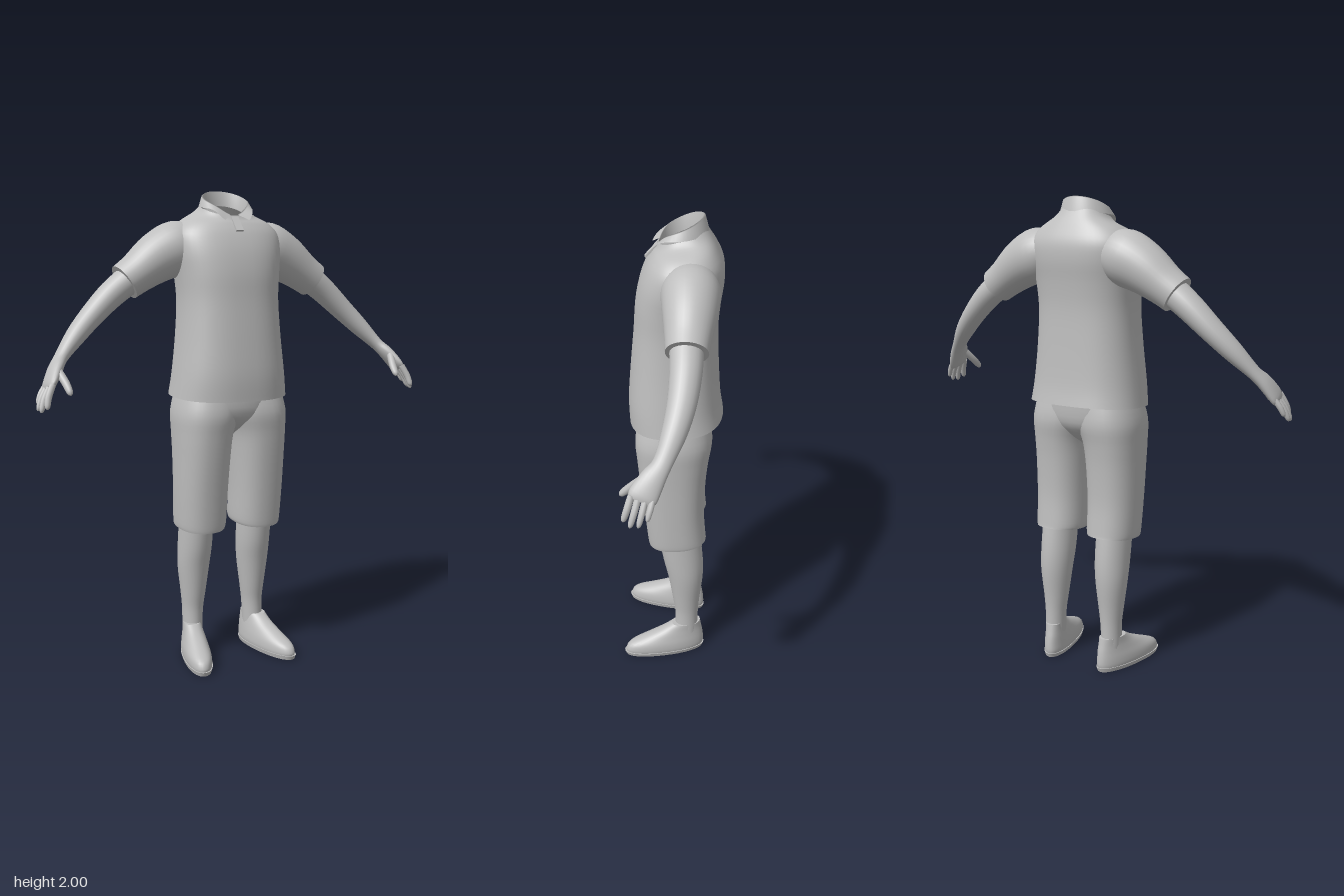
import * as THREE from 'three';

const grey = new THREE.MeshStandardMaterial({ color: 0xbebebe, side: THREE.DoubleSide });
grey.name = 'plain grey';

// Smoothly resample a table of section rows
function smooth(rows, steps = 4) {
  const out = [];
  for (let i = 0; i < rows.length - 1; i++) {
    const p = [rows[Math.max(i - 1, 0)], rows[i], rows[i + 1], rows[Math.min(i + 2, rows.length - 1)]];
    for (let s = 0; s < steps; s++) {
      const t = s / steps;
      out.push(rows[i].map((_, k) => {
        const m0 = (p[2][k] - p[0][k]) / 2, m1 = (p[3][k] - p[1][k]) / 2, d = p[2][k] - p[1][k];
        return p[1][k] + t * (m0 + t * (3 * d - 2 * m0 - m1 + t * (m0 + m1 - 2 * d)));
      }));
    }
  }
  out.push(rows[rows.length - 1]);
  return out;
}

// Skin a list of rings; caps get their own vertices so their edges stay sharp
function loft(rings, { closed = true, capStart = false, capEnd = false } = {}) {
  const pos = [], idx = [], n = rings[0].length;
  rings.forEach(r => r.forEach(p => pos.push(p.x, p.y, p.z)));
  const cols = closed ? n : n - 1;
  for (let i = 0; i < rings.length - 1; i++) {
    for (let j = 0; j < cols; j++) {
      const k = (j + 1) % n, a = i * n + j, b = i * n + k;
      idx.push(a, b, a + n, b, b + n, a + n);
    }
  }
  const cap = (ring, flip) => {
    const start = pos.length / 3;
    const c = ring.reduce((s, p) => s.add(p), new THREE.Vector3()).divideScalar(n);
    [...ring, c].forEach(p => pos.push(p.x, p.y, p.z));
    for (let j = 0; j < n; j++) {
      const a = start + j, b = start + (j + 1) % n;
      idx.push(...(flip ? [b, a, start + n] : [a, b, start + n]));
    }
  };
  if (capStart) cap(rings[0], true);
  if (capEnd) cap(rings[rings.length - 1], false);
  const g = new THREE.BufferGeometry();
  g.setAttribute('position', new THREE.Float32BufferAttribute(pos, 3));
  g.setIndex(idx);
  g.computeVertexNormals();
  return g;
}

// Upright form from rows of [y, xMin, xMax, zFront, zBack, front lift]
function upright(rows, { power = 2.2, skew = 0, n = 36, ...caps } = {}) {
  const e = 2 / power;
  return loft(smooth(rows).map(([y, x0, x1, zf, zb, lift = 0]) => {
    const ring = [];
    for (let j = 0; j < n; j++) {
      const a = (j / n) * Math.PI * 2, s = Math.sin(a), c = Math.cos(a);
      const z = (zf + zb) / 2 + (zf - zb) / 2 * Math.sign(c) * Math.abs(c) ** e;
      const x = (x0 + x1) / 2 + (x1 - x0) / 2 * Math.sign(s) * Math.abs(s) ** e;
      ring.push(new THREE.Vector3(x + skew * (z - 0.035), y + lift * c / 2, z));
    }
    return ring;
  }), caps);
}

// Limb along a path of [x, y, z, radius in the front plane, radius in depth]
function limb(rows, { n = 20, ...caps } = {}) {
  const path = smooth(rows);
  const at = i => new THREE.Vector3(...path[Math.min(Math.max(i, 0), path.length - 1)].slice(0, 3));
  return loft(path.map((row, i) => {
    const d = at(i + 1).sub(at(i - 1)).normalize();
    const u = new THREE.Vector3(-d.y, d.x, 0).normalize();
    const v = new THREE.Vector3().crossVectors(d, u);
    return Array.from({ length: n }, (_, j) => {
      const a = (j / n) * Math.PI * 2;
      return at(i).addScaledVector(u, row[3] * Math.cos(a)).addScaledVector(v, row[4] * Math.sin(a));
    });
  }), { capStart: true, capEnd: true, ...caps });
}

// Finger with a rounded tip
function finger(a, b, r, bend = 0.006) {
  const mix = (t, k) => [0, 1, 2].map(i => a[i] + (b[i] - a[i]) * t + (i === 0 ? bend * k : 0)).concat();
  return limb([[...mix(0, 0), r, r], [...mix(0.5, 1), r, r], [...mix(0.88, 0.4), r * 0.8, r * 0.8],
    [...mix(1, 0), r * 0.25, r * 0.25]], { n: 10 });
}

function mirrored(geometry) {
  const g = geometry.clone().scale(-1, 1, 1), ix = g.index.array;
  for (let i = 0; i < ix.length; i += 3) [ix[i], ix[i + 1]] = [ix[i + 1], ix[i]];
  g.computeVertexNormals();
  return g;
}

export function createModel() {
  const model = new THREE.Group();
  model.name = 'clothedFigure';
  const add = (name, geometry) => {
    const m = new THREE.Mesh(geometry, grey);
    m.name = name;
    model.add(m);
  };
  const pair = (name, geometry) => {
    add(name + 'Left', geometry);
    add(name + 'Right', mirrored(geometry));
  };

  // Shirt body, open at hem and neck
  add('shirtBody', upright([
    [1.155, -0.25, 0.25, 0.18, -0.208, -0.025], [1.25, -0.238, 0.238, 0.183, -0.195, 0],
    [1.4, -0.222, 0.222, 0.172, -0.185, 0], [1.55, -0.214, 0.214, 0.158, -0.18, 0],
    [1.66, -0.222, 0.222, 0.15, -0.188, 0], [1.75, -0.235, 0.235, 0.132, -0.2, 0],
    [1.82, -0.232, 0.232, 0.105, -0.197, 0], [1.87, -0.19, 0.19, 0.08, -0.172, -0.02],
    [1.903, -0.125, 0.125, 0.065, -0.145, -0.05], [1.925, -0.102, 0.102, 0.055, -0.128, -0.06],
  ], { power: 2.45, n: 48 }));

  // Sleeves
  pair('sleeve', limb([
    [0.11, 1.785, -0.06, 0.075, 0.09], [0.2, 1.765, -0.07, 0.112, 0.112], [0.29, 1.725, -0.07, 0.103, 0.104],
    [0.38, 1.665, -0.065, 0.083, 0.088], [0.437, 1.627, -0.062, 0.077, 0.08],
  ], { n: 32, capStart: false }));

  // Folded collar: inner stand, rim, and outer flap ending in two points
  const low = [], fold = [], rim = [], flap = [];
  for (let j = 0; j <= 40; j++) {
    const t = j / 40, a = 0.2 + t * (Math.PI * 2 - 0.4), s = Math.sin(a), c = Math.cos(a);
    const front = Math.max(c, 0), tip = front ** 5;
    const top = 1.963 - 0.037 * c - 0.03 * tip;
    low.push(new THREE.Vector3(0.088 * s, top - 0.06, -0.028 + 0.085 * c));
    rim.push(new THREE.Vector3(0.094 * s, top, -0.032 + 0.084 * c));
    fold.push(new THREE.Vector3(0.1 * s, top - 0.003, -0.032 + 0.09 * c));
    const spread = 0.112 * s + 0.035 * Math.sign(s) * tip;
    flap.push(new THREE.Vector3(spread, 1.928 - 0.012 * c - 0.045 * tip, -0.032 + 0.106 * c + 0.012 * front));
  }
  add('collar', loft([flap, fold, rim, low], { closed: false }));

  // Button placket below the collar
  const placket = new THREE.BoxGeometry(0.032, 0.075, 0.008);
  placket.rotateX(-0.75).translate(0, 1.86, 0.083);
  add('placket', placket);

  // Shorts
  add('shortsSeat', upright([
    [0.985, -0.03, 0.03, 0.03, -0.06], [1.03, -0.12, 0.12, 0.1, -0.12],
    [1.09, -0.215, 0.215, 0.148, -0.162], [1.19, -0.225, 0.225, 0.15, -0.17],
  ], { capStart: true }));
  pair('shortsLeg', upright([
    [0.592, 0.028, 0.232, 0.1, -0.146, -0.025], [0.62, 0.022, 0.236, 0.105, -0.143, -0.02],
    [0.75, 0.02, 0.24, 0.12, -0.135, 0], [0.9, 0.012, 0.243, 0.137, -0.141, 0],
    [1.0, 0.0, 0.246, 0.147, -0.152, 0], [1.09, -0.03, 0.247, 0.154, -0.165, 0],
    [1.19, -0.04, 0.225, 0.13, -0.15, 0],
  ], { power: 2.3, capStart: true }));

  // Bare lower legs
  pair('lowerLeg', upright([
    [0.1, 0.105, 0.19, -0.012, -0.115], [0.2, 0.1, 0.19, -0.014, -0.116], [0.28, 0.09, 0.197, -0.003, -0.122],
    [0.4, 0.075, 0.21, 0.017, -0.135], [0.5, 0.068, 0.212, 0.04, -0.134], [0.63, 0.068, 0.21, 0.062, -0.12],
  ], { power: 2, n: 28 }));

  // Shoes with toes turned outwards
  pair('shoe', upright([
    [0.012, 0.115, 0.226, 0.206, -0.138], [0.03, 0.112, 0.229, 0.208, -0.142], [0.058, 0.114, 0.227, 0.188, -0.141],
    [0.09, 0.12, 0.219, 0.115, -0.137], [0.12, 0.126, 0.213, 0.047, -0.131], [0.148, 0.13, 0.211, 0.0, -0.126],
  ], { skew: 0.2, capEnd: true }));
  pair('shoeSole', upright([
    [0, 0.115, 0.226, 0.208, -0.138], [0.018, 0.11, 0.231, 0.215, -0.145],
  ], { skew: 0.2, capStart: true, capEnd: true }));

  // Arms and palms
  pair('arm', limb([
    [0.4, 1.65, -0.06, 0.06, 0.064], [0.49, 1.583, -0.06, 0.055, 0.06], [0.58, 1.5, -0.048, 0.047, 0.054],
    [0.66, 1.42, -0.022, 0.039, 0.046], [0.73, 1.343, 0.015, 0.026, 0.036], [0.765, 1.3, 0.048, 0.026, 0.046],
    [0.796, 1.25, 0.08, 0.021, 0.054], [0.806, 1.23, 0.09, 0.013, 0.046],
  ], { n: 24 }));

  // Fingers and thumb
  const tips = [[0.828, 1.16, 0.152], [0.845, 1.146, 0.127], [0.85, 1.15, 0.097], [0.843, 1.172, 0.066]];
  tips.forEach((tip, i) => pair('finger' + (i + 1),
    finger([0.797, 1.25, 0.122 - i * 0.026], tip, 0.0135 - i * 0.0006)));
  pair('thumb', finger([0.763, 1.298, 0.082], [0.74, 1.213, 0.168], 0.016, -0.004));

  return model;
}
